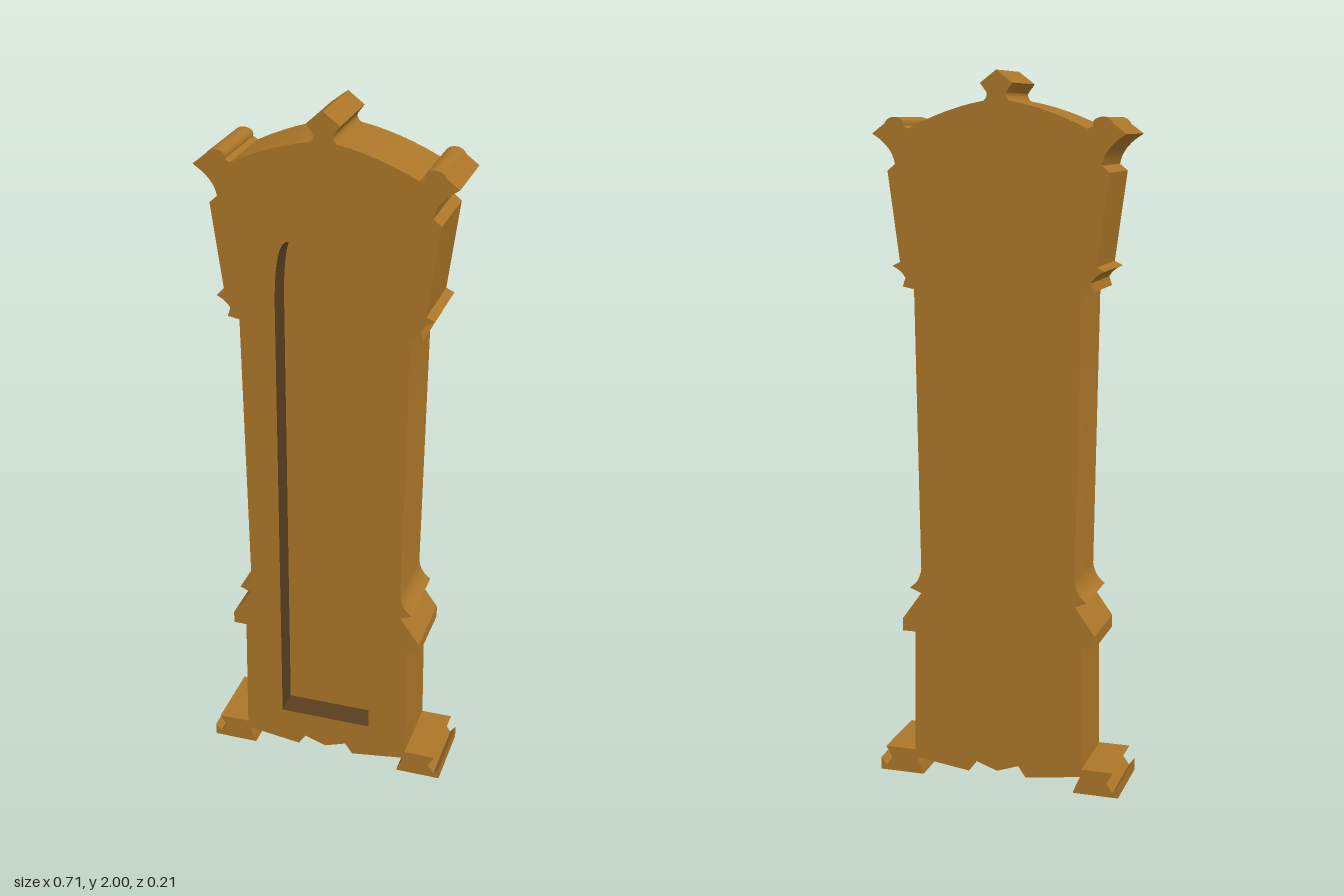
import * as THREE from 'three';
import { toCreasedNormals } from 'three/addons/utils/BufferGeometryUtils.js';

const FRONT = 0.105, BACK = -0.105, FLOOR = 0.03;

// Mirrors a right half (bottom to top, ending at the centre) into a closed anticlockwise loop
function mirrorLoop(path) {
  const right = path.getPoints(6);
  const left = right.filter(p => p.x > 1e-4).reverse().map(p => new THREE.Vector2(-p.x, p.y));
  return [...right, ...left];
}

// Band of walls along a closed loop between two depths; faces outward for anticlockwise loops
function wallGeometry(loop, z0, z1) {
  const pos = [];
  loop.forEach((a, i) => {
    const b = loop[(i + 1) % loop.length];
    if (a.distanceTo(b) < 1e-5) return;
    pos.push(a.x, a.y, z0, b.x, b.y, z0, b.x, b.y, z1);
    pos.push(a.x, a.y, z0, b.x, b.y, z1, a.x, a.y, z1);
  });
  const g = new THREE.BufferGeometry();
  g.setAttribute('position', new THREE.Float32BufferAttribute(pos, 3));
  g.computeVertexNormals();
  return toCreasedNormals(g, 0.5);
}

// Right half of the case silhouette
function casePath() {
  const p = new THREE.Path();
  const lines = pts => pts.forEach(([x, y]) => p.lineTo(x, y));
  p.moveTo(0, 0.038);
  // scalloped apron and bracket foot
  lines([[0.063, 0.06], [0.085, 0.028], [0.245, 0.05], [0.225, 0.003], [0.225, 0],
    [0.356, 0], [0.356, 0.037], [0.34, 0.014], [0.322, 0.04], [0.34, 0.073], [0.249, 0.073]]);
  // base and waist moulding
  lines([[0.245, 0.432], [0.283, 0.432], [0.283, 0.468], [0.226, 0.548], [0.26, 0.562]]);
  p.quadraticCurveTo(0.23, 0.58, 0.225, 0.62);
  // trunk and hood moulding
  lines([[0.237, 1.415], [0.27, 1.421], [0.262, 1.445]]);
  p.quadraticCurveTo(0.272, 1.465, 0.3, 1.477);
  lines([[0.277, 1.488], [0.31, 1.735], [0.288, 1.753]]);
  // scrolled ear
  p.quadraticCurveTo(0.295, 1.8, 0.353, 1.834);
  p.lineTo(0.318, 1.86);
  p.quadraticCurveTo(0.308, 1.88, 0.285, 1.878);
  p.quadraticCurveTo(0.258, 1.873, 0.264, 1.855);
  p.lineTo(0.25, 1.847);
  // arched pediment and finial
  p.quadraticCurveTo(0.14, 1.902, 0.035, 1.92);
  p.quadraticCurveTo(0.02, 1.935, 0.03, 1.946);
  lines([[0.045, 1.966], [0, 2]]);
  return p;
}

// Right half of the door recess
function recessPath() {
  const p = new THREE.Path();
  p.moveTo(0, 0.142);
  p.lineTo(0.136, 0.142);
  p.lineTo(0.136, 1.48);
  p.bezierCurveTo(0.134, 1.575, 0.125, 1.641, 0.1, 1.65);
  p.lineTo(0, 1.65);
  return p;
}

export function createModel() {
  const group = new THREE.Group();
  group.name = 'longcaseClock';
  const wood = new THREE.MeshStandardMaterial({ color: 0xac7628 });
  wood.name = 'wood';
  const darkWood = new THREE.MeshStandardMaterial({ color: 0x5a3f20 });
  darkWood.name = 'darkWood';

  const add = (name, geometry, z = 0, material = wood) => {
    const mesh = new THREE.Mesh(geometry, material);
    mesh.name = name;
    mesh.position.z = z;
    group.add(mesh);
    return mesh;
  };

  const outline = mirrorLoop(casePath());
  const recess = mirrorLoop(recessPath());

  // front panel with the door opening
  const frontShape = new THREE.Shape(outline);
  frontShape.holes.push(new THREE.Path(recess));
  add('frontPanel', new THREE.ShapeGeometry(frontShape), FRONT);

  // back panel, turned to face the rear (the silhouette is symmetrical)
  add('backPanel', new THREE.ShapeGeometry(new THREE.Shape(outline)), BACK).rotation.y = Math.PI;

  // case sides, then the inset door and its dark reveal
  add('caseSides', wallGeometry(outline, BACK, FRONT));
  add('recessedDoor', new THREE.ShapeGeometry(new THREE.Shape(recess)), FLOOR);
  add('doorReveal', wallGeometry([...recess].reverse(), FLOOR, FRONT), 0, darkWood);

  return group;
}
